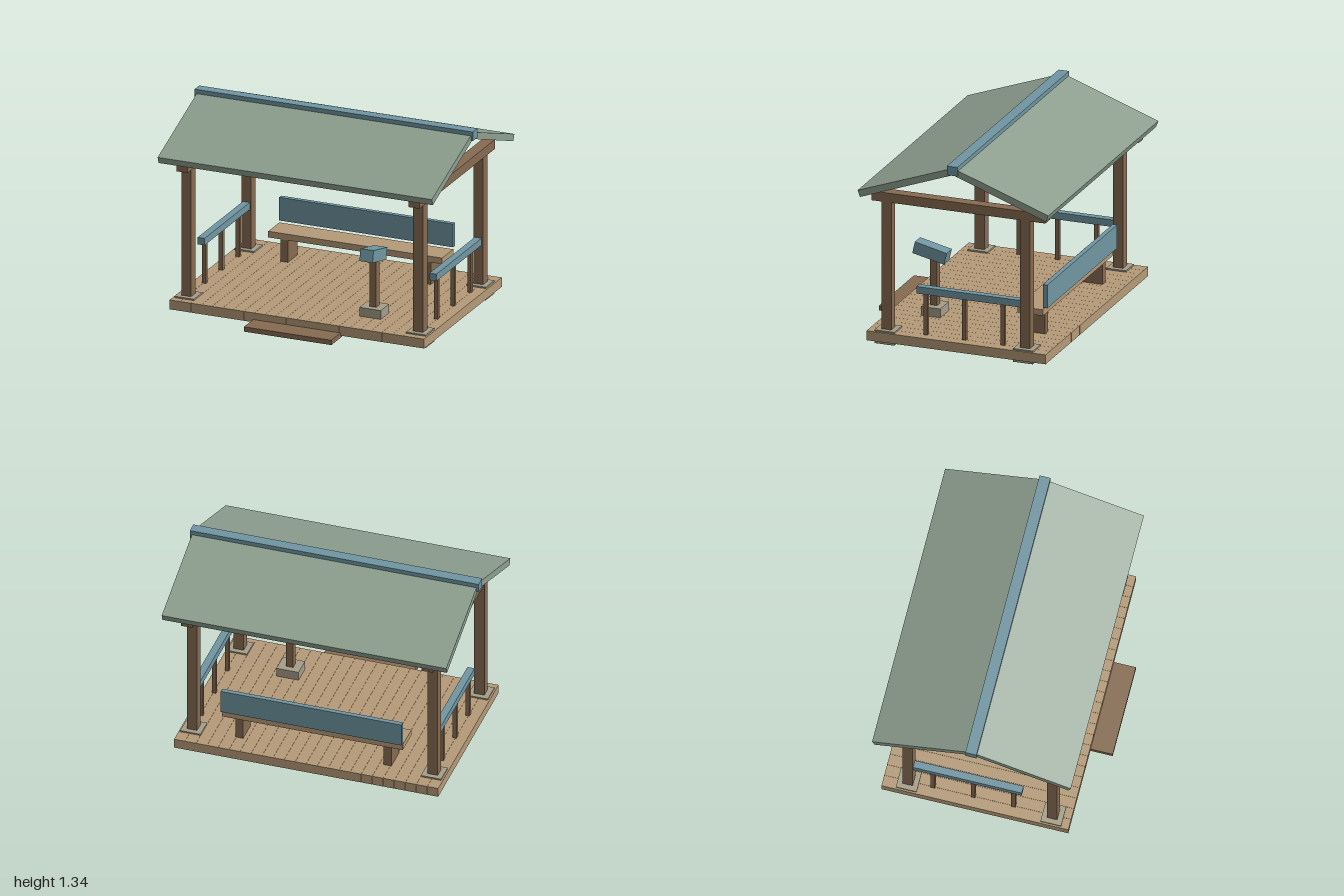
import * as THREE from 'three';

const mat = (name, color) => {
  const m = new THREE.MeshStandardMaterial({ color });
  m.name = name;
  return m;
};

export function createModel() {
  const brown = mat('dark timber', 0x866b52);
  const tan = mat('deck timber', 0xb59a78);
  const blue = mat('painted blue', 0x7096a2);
  const green = mat('roof green', 0x8d9f8f);
  const stone = mat('stone', 0xa69e89);

  const model = new THREE.Group();
  model.name = 'pavilion';

  // Box given by its minimum and maximum on each axis
  const box = (name, material, [x0, x1], [y0, y1], [z0, z1], parent = model) => {
    const mesh = new THREE.Mesh(new THREE.BoxGeometry(x1 - x0, y1 - y0, z1 - z0), material);
    mesh.position.set((x0 + x1) / 2, (y0 + y1) / 2, (z0 + z1) / 2);
    mesh.name = name;
    parent.add(mesh);
    return mesh;
  };
  const around = (c, size) => [c - size / 2, c + size / 2];

  // Deck of planks running front to back
  const deck = new THREE.Group();
  deck.name = 'deck';
  model.add(deck);
  const planks = 24, deckWidth = 1.83, pitch = deckWidth / planks;
  for (let i = 0; i < planks; i++) {
    const x = -deckWidth / 2 + (i + 0.5) * pitch;
    box('plank', tan, around(x, pitch - 0.001), [0.017, 0.083], [-0.687, 0.58], deck);
  }

  // Front step
  box('step', brown, [-0.314, 0.314], [0.002, 0.036], [0.56, 0.73]);

  for (const side of [-1, 1]) {
    const x = side * 0.833;

    // Corner posts on stone footings
    for (const z of [0.458, -0.522]) {
      box('footing', stone, around(x, 0.14), [0, 0.093], around(z, 0.14));
      box('post', brown, around(x, 0.07), [0.09, 0.99], around(z, 0.07));
    }

    // Beam across the post tops
    box('beam', brown, around(x, 0.08), [0.985, 1.05], [-0.668, 0.56]);

    // Side railing
    box('handrail', blue, around(x, 0.05), [0.369, 0.418], [-0.49, 0.25]);
    for (const z of [0.19, -0.083, -0.356]) {
      box('baluster', brown, around(x, 0.028), [0.083, 0.372], around(z, 0.028));
    }

    // Bench legs
    box('benchLeg', brown, around(side * 0.513, 0.055), [0.083, 0.243], [-0.535, -0.378]);
  }

  // Bench seat and backrest
  box('benchSeat', tan, [-0.625, 0.625], [0.24, 0.283], [-0.553, -0.372]);
  box('benchBackrest', blue, [-0.625, 0.625], [0.297, 0.46], [-0.584, -0.552]);

  // Reading stand with a tilted head
  box('standBase', stone, around(0.428, 0.154), [0.083, 0.145], around(0.288, 0.136));
  box('standPost', brown, around(0.428, 0.05), [0.145, 0.5], around(0.288, 0.05));
  const head = box('standHead', blue, around(0.43, 0.094), around(0.514, 0.083), around(0.308, 0.23));
  head.rotation.x = -0.23;

  // Gabled roof: cross-section extruded along x
  const ridgeZ = -0.059, roofLength = 1.97;
  const profile = [
    [-0.674, 1.085], [-0.657, 1.04], [0, 1.28], [0.657, 1.04], [0.674, 1.085], [0, 1.328],
  ];
  const shape = new THREE.Shape(profile.map(([z, y]) => new THREE.Vector2(z, y)));
  const roofGeometry = new THREE.ExtrudeGeometry(shape, { depth: roofLength, bevelEnabled: false });
  roofGeometry.translate(0, 0, -roofLength / 2).rotateY(Math.PI / 2);
  const roof = new THREE.Mesh(roofGeometry, green);
  roof.name = 'roof';
  roof.position.z = ridgeZ;
  model.add(roof);

  // Ridge cap
  box('ridgeCap', blue, [-1, 1], [1.281, 1.344], around(ridgeZ, 0.075));

  return model;
}
